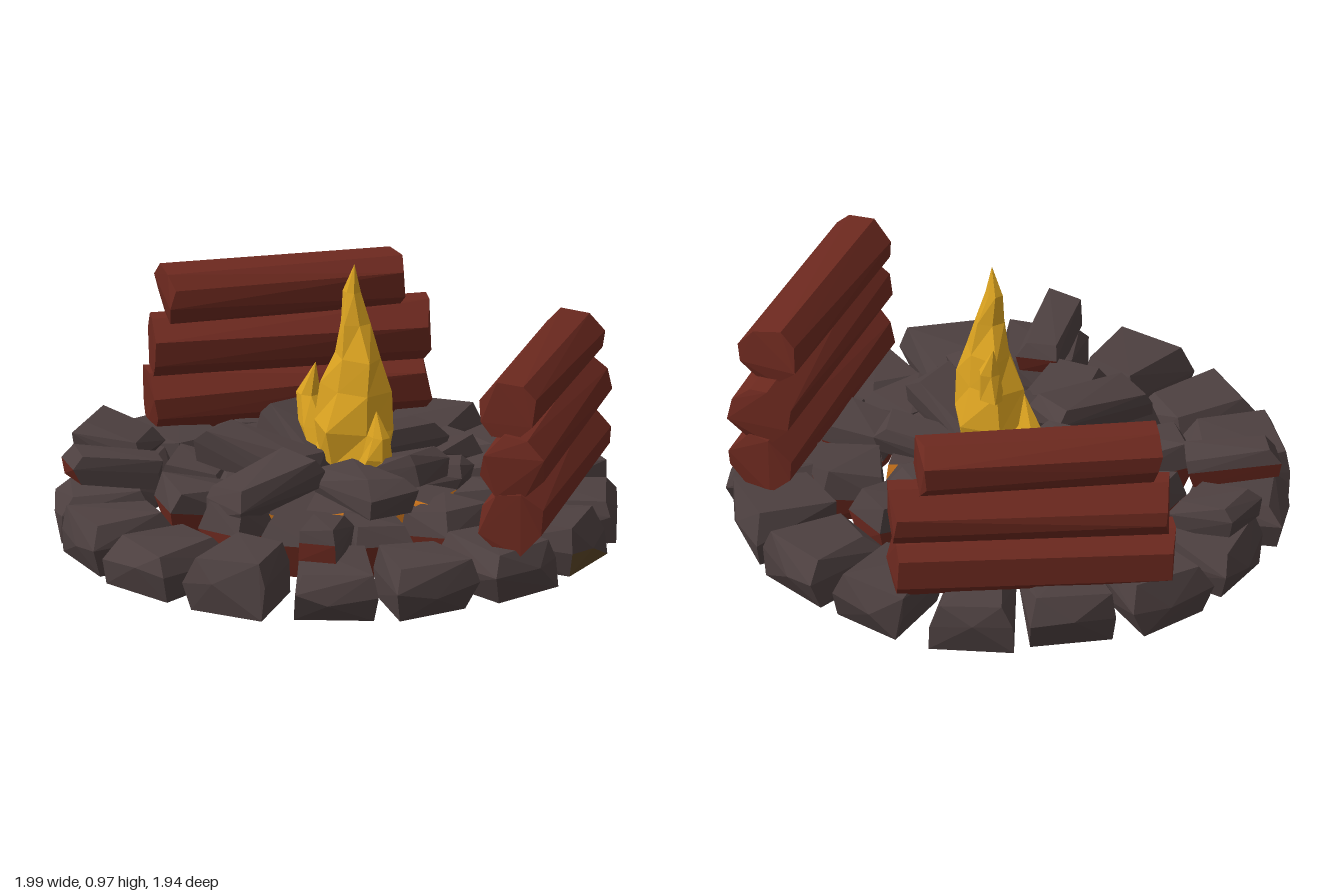
import * as THREE from 'three';
import { ConvexGeometry } from 'three/addons/geometries/ConvexGeometry.js';

const mat = (name, color) => {
  const m = new THREE.MeshStandardMaterial({ color });
  m.name = name;
  return m;
};

export function createModel() {
  const model = new THREE.Group();
  const charcoal = mat('charcoal', 0x4d4040);
  const bark = mat('red bark', 0x6d291f);
  const ember = mat('ember orange', 0xe0801f);
  const fire = mat('flame yellow', 0xdea521);
  const scorched = mat('scorched brown', 0x5c4526);

  let seed = 11;
  const rand = () => (seed = (seed * 16807) % 2147483647) / 2147483647;
  const jit = (a) => (rand() - 0.5) * 2 * a;
  const group = (name) => {
    const g = new THREE.Group();
    g.name = name;
    model.add(g);
    return g;
  };

  // Rough block with a bulging middle; z is the radial / long direction
  function block(w, h, d, { wedge = 0, rough = 0.07, base = 0.88, top = 0.8, belly = 0 } = {}) {
    const pts = [];
    [[-0.5, base], [0.05, 1], [0.5, top]].forEach(([y, s]) => {
      for (const sx of [-0.5, 0.5]) for (const sz of [-0.5, 0.5]) {
        const k = s * (1 + wedge * sz);
        pts.push(new THREE.Vector3(
          (sx * k + jit(rough)) * w,
          (y + (y < 0 ? 0 : jit(rough * 1.2))) * h,
          (sz * s + jit(rough)) * d));
      }
    });
    // Swollen outer and inner ends
    if (belly) for (const e of [-1, 1]) {
      pts.push(new THREE.Vector3(jit(0.15) * w, jit(0.15) * h, e * (0.5 + belly) * d));
    }
    return new ConvexGeometry(pts);
  }

  // Sorts triangles into group 0, or group 1 where the normal passes the test
  function splitFaces(geo, test) {
    const p = geo.attributes.position.array, n = geo.attributes.normal.array;
    const sets = [{ p: [], n: [] }, { p: [], n: [] }];
    for (let i = 0; i < p.length; i += 9) {
      const s = sets[test(n[i], n[i + 1], n[i + 2]) ? 1 : 0];
      s.p.push(...p.slice(i, i + 9));
      s.n.push(...n.slice(i, i + 9));
    }
    const [a, b] = sets;
    const out = new THREE.BufferGeometry();
    out.setAttribute('position', new THREE.Float32BufferAttribute([...a.p, ...b.p], 3));
    out.setAttribute('normal', new THREE.Float32BufferAttribute([...a.n, ...b.n], 3));
    out.addGroup(0, a.p.length / 3, 0);
    out.addGroup(a.p.length / 3, b.p.length / 3, 1);
    return out;
  }
  const facesDown = (x, y) => y < -0.15;

  function add(parent, name, geo, material, pos, target) {
    const m = new THREE.Mesh(geo, material);
    m.name = name;
    m.position.set(...pos);
    if (target) m.lookAt(new THREE.Vector3(...target));
    parent.add(m);
    return m;
  }

  // Outer ring of sixteen stones, one of them scorched on its outer side
  const outer = group('outerStoneRing');
  for (let i = 0; i < 16; i++) {
    const a = (i / 16) * Math.PI * 2;
    const h = 0.175 + jit(0.012);
    const geo = block(0.275, h, 0.32, { wedge: 0.25, rough: 0.075, belly: 0.05 });
    const pos = [Math.sin(a) * 0.795, h / 2, Math.cos(a) * 0.795];
    const s = i === 5
      ? add(outer, 'scorchedStone', splitFaces(geo, (x, y, z) => z > 0.5 && y < 0),
        [charcoal, scorched], pos)
      : add(outer, 'ringStone', geo, charcoal, pos);
    s.rotation.y = a + jit(0.08);
  }

  // Inner ring of chunks, charred above and red below: [x, z, width, depth]
  const inner = group('innerChunkRing');
  [[0.02, -0.5, 0.18, 0.2], [-0.23, -0.48, 0.23, 0.23], [-0.37, -0.31, 0.21, 0.25],
    [-0.46, -0.04, 0.25, 0.21], [-0.43, 0.26, 0.21, 0.23], [-0.23, 0.44, 0.21, 0.25],
    [0.02, 0.5, 0.18, 0.18], [0.27, 0.44, 0.22, 0.25], [0.46, 0.25, 0.2, 0.23],
    [0.52, -0.04, 0.25, 0.21], [0.47, -0.29, 0.19, 0.21], [0.29, -0.48, 0.23, 0.23],
  ].forEach(([x, z, w, d]) => {
    const geo = block(w, 0.19, d, { base: 0.68, top: 0.85 });
    const c = add(inner, 'charredChunk', splitFaces(geo, facesDown), [charcoal, bark],
      [x, 0.125, z]);
    c.rotation.y = Math.atan2(x, z);
    c.rotateX(-0.12);
  });

  // Long pieces laid between two points
  function stick(parent, name, from, to, w, h, under) {
    const a = new THREE.Vector3(...from), b = new THREE.Vector3(...to);
    const mid = a.clone().add(b).multiplyScalar(0.5).toArray();
    const geo = block(w, h, a.distanceTo(b));
    if (under) add(parent, name, splitFaces(geo, facesDown), [charcoal, under], mid, to);
    else add(parent, name, geo, charcoal, mid, to);
  }
  const kindling = group('kindling');
  [
    [[0.02, 0.29, 0.16], [0.02, 0.23, 0.58], 0.18, 0.11],
    [[-0.02, 0.27, -0.1], [-0.02, 0.24, -0.48], 0.16, 0.11],
    [[0.0, 0.22, 0.08], [-0.44, 0.29, 0.22], 0.18, 0.13],
    [[0.06, 0.22, 0.08], [0.48, 0.29, 0.2], 0.18, 0.13],
    [[0.1, 0.22, -0.03], [0.43, 0.34, -0.06], 0.19, 0.12],
    [[-0.1, 0.22, -0.04], [-0.37, 0.34, -0.06], 0.17, 0.12],
    [[0.08, 0.2, -0.1], [0.37, 0.23, -0.28], 0.15, 0.1],
    [[-0.08, 0.2, -0.1], [-0.35, 0.23, -0.28], 0.15, 0.1],
  ].forEach(([f, t, w, h]) => stick(kindling, 'charredStick', f, t, w, h));

  // Pieces leaning on the stone ring
  const leaning = group('leaningPieces');
  for (const s of [-1, 1]) {
    stick(leaning, 'leaningPiece', [s * 0.42, 0.22, 0.43], [s * 0.61, 0.26, 0.69], 0.14, 0.11, bark);
  }
  stick(leaning, 'leaningPiece', [-0.62, 0.21, 0.3], [-0.86, 0.26, 0.38], 0.2, 0.11);

  // Glowing embers, as radial wedges with charred tops
  const embers = group('embers');
  for (let i = 0; i < 12; i++) {
    const a = ((i + 0.5) / 12) * Math.PI * 2;
    const r = 0.235 + jit(0.025);
    const geo = block(0.145, 0.14, 0.37, { wedge: 1, rough: 0.1, base: 0.5, top: 0.95 });
    const e = add(embers, 'ember', splitFaces(geo, (x, y) => y > 0.4), [ember, charcoal],
      [Math.sin(a) * r, 0.12 + jit(0.02), Math.cos(a) * r]);
    e.rotation.y = a + jit(0.12);
  }

  // Two stacks of three logs, faceted with eight sides
  function log(parent, from, to, rx, ry) {
    const a = new THREE.Vector3(...from), b = new THREE.Vector3(...to);
    const len = a.distanceTo(b), pts = [];
    for (const end of [-0.5, 0.5]) for (let i = 0; i < 8; i++) {
      const t = ((i + 0.5) / 8) * Math.PI * 2 + jit(0.16);
      const k = 1 + jit(0.07);
      pts.push(new THREE.Vector3(Math.cos(t) * rx * k, Math.sin(t) * ry * k * 1.06,
        end * len + jit(0.015)));
    }
    add(parent, 'log', new ConvexGeometry(pts), bark,
      a.clone().add(b).multiplyScalar(0.5).toArray(), to);
  }
  for (const s of [-1, 1]) {
    const stack = group(s > 0 ? 'leftLogStack' : 'rightLogStack');
    log(stack, [s * 0.9, 0.265, 0.03], [s * 0.39, 0.265, -0.79], 0.118, 0.108);
    log(stack, [s * 0.895, 0.46, 0.02], [s * 0.385, 0.46, -0.79], 0.118, 0.106);
    log(stack, [s * 0.85, 0.652, 0.0], [s * 0.44, 0.652, -0.71], 0.112, 0.096);
  }

  // Flame tongues: loops of [x, y, z, half width, half depth], bottom to top
  function tongue(parent, name, loops) {
    const n = loops.length - 1;
    const geo = new THREE.CylinderGeometry(1, 1, 1, 6, n);
    const p = geo.attributes.position;
    for (let i = 0; i < p.count; i++) {
      const row = Math.round((p.getY(i) + 0.5) * n);
      const [cx, cy, cz, rx, rz] = loops[row];
      const ang = Math.atan2(p.getX(i), p.getZ(i));
      const k = 1 + 0.14 * Math.sin(2 * ang + row * 2.1);
      p.setXYZ(i, cx + p.getX(i) * rx * k, cy, cz + p.getZ(i) * rz * k);
    }
    const flat = geo.toNonIndexed();
    flat.computeVertexNormals();
    add(parent, name, flat, fire, [0, 0, 0]);
  }
  const flame = group('flame');
  tongue(flame, 'mainTongue', [
    [0.02, 0.25, -0.06, 0.16, 0.1], [0.025, 0.38, -0.06, 0.155, 0.12],
    [0.035, 0.52, -0.06, 0.125, 0.1], [0.045, 0.64, -0.06, 0.105, 0.075],
    [0.04, 0.76, -0.055, 0.055, 0.05], [0.025, 0.87, -0.05, 0.03, 0.028],
    [0.038, 0.97, -0.05, 0.001, 0.001]]);
  tongue(flame, 'rightTongue', [
    [-0.11, 0.25, -0.06, 0.1, 0.08], [-0.155, 0.34, -0.06, 0.075, 0.06],
    [-0.2, 0.44, -0.06, 0.04, 0.04], [-0.165, 0.56, -0.06, 0.001, 0.001]]);
  tongue(flame, 'leftTongue', [
    [0.18, 0.25, 0, 0.09, 0.07], [0.225, 0.33, 0.02, 0.06, 0.045],
    [0.235, 0.41, 0.025, 0.04, 0.03], [0.225, 0.5, 0.025, 0.001, 0.001]]);
  tongue(flame, 'smallLick', [
    [-0.03, 0.5, -0.1, 0.06, 0.05], [-0.03, 0.6, -0.11, 0.04, 0.035],
    [-0.052, 0.7, -0.11, 0.001, 0.001]]);

  return model;
}
